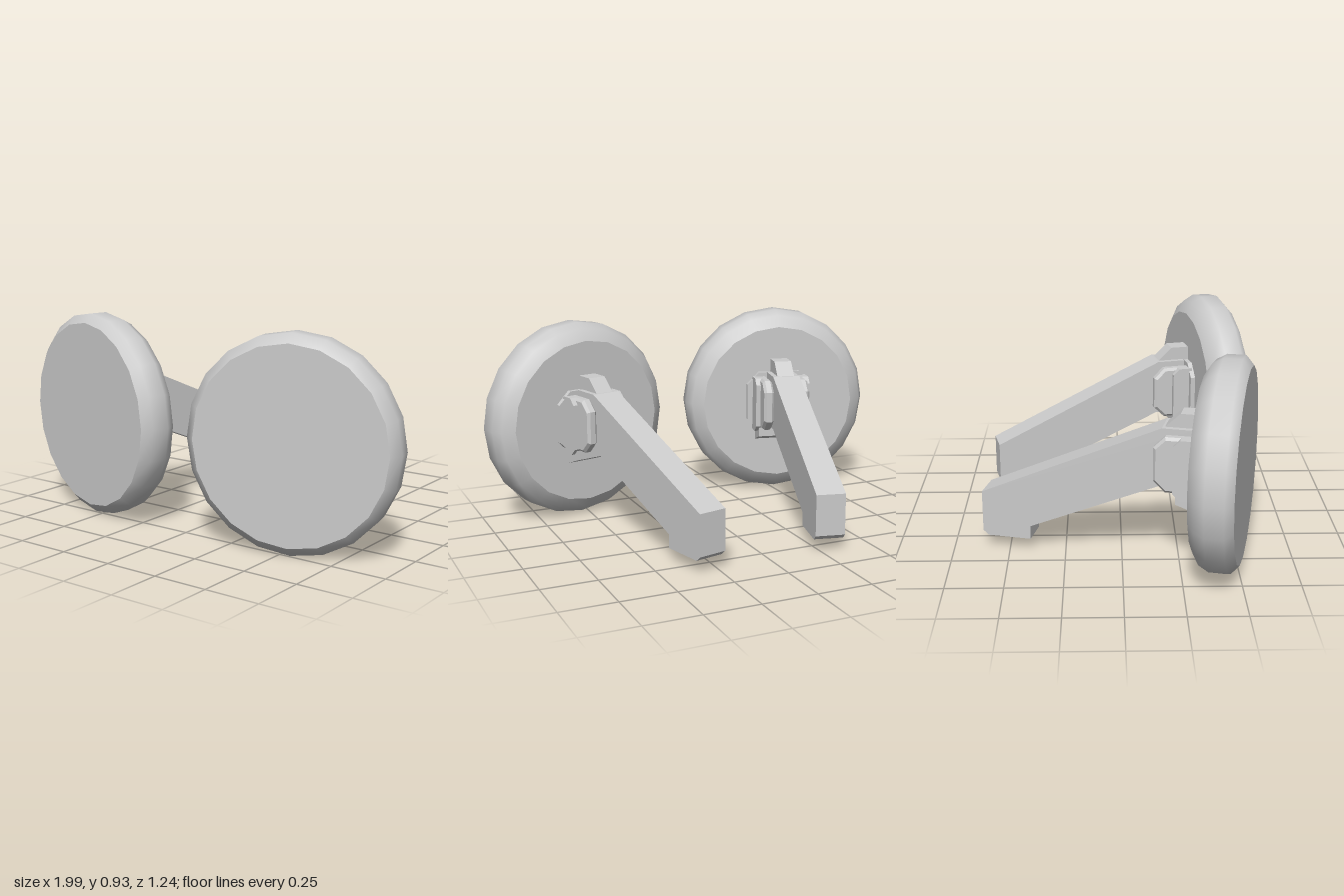
import * as THREE from 'three';

const material = new THREE.MeshStandardMaterial({ color: 0xcccccc, side: THREE.DoubleSide });
const flat = new THREE.MeshStandardMaterial({ color: 0xcccccc, flatShading: true });
const TOE = THREE.MathUtils.degToRad(13.5);
const AXIS_Y = 0.465;

function add(parent, name, geometry, mat = flat) {
  const mesh = new THREE.Mesh(geometry, mat);
  mesh.name = name;
  parent.add(mesh);
  return mesh;
}

// Side profile given as [forward, up], extruded across the part's width
function sideExtrude(points, width, centre = 0, bevel = 0) {
  const shape = new THREE.Shape(points.map(([z, y]) => new THREE.Vector2(z, y)));
  const geometry = new THREE.ExtrudeGeometry(shape, {
    depth: width - 2 * bevel, bevelEnabled: bevel > 0, bevelSegments: 1,
    bevelSize: bevel, bevelThickness: bevel, bevelOffset: -bevel,
  });
  geometry.translate(0, 0, -width / 2 + bevel);
  geometry.rotateY(-Math.PI / 2);
  geometry.translate(centre, 0, 0);
  return geometry;
}

// Rectangle with its corners cut off
function chamfered(z0, z1, y0, y1, c) {
  return [[z0 + c, y0], [z1, y0], [z1, y1], [z0 + c, y1], [z0, y1 - c], [z0, y0 + c]];
}

function buildUnit() {
  const unit = new THREE.Group();

  // Round pad: smooth rim with flat caps
  const rim = [[0.385, 0.447], [0.44, 0.48], [0.465, 0.525], [0.465, 0.605], [0.425, 0.64]];
  const rimGeometry = new THREE.LatheGeometry(rim.map(([r, z]) => new THREE.Vector2(r, z)), 20);
  rimGeometry.rotateX(Math.PI / 2);
  add(unit, 'padRim', rimGeometry, material).position.y = AXIS_Y;
  const front = new THREE.CircleGeometry(0.425, 20);
  add(unit, 'padFrontFace', front).position.set(0, AXIS_Y, 0.64);
  const back = new THREE.CircleGeometry(0.385, 20);
  back.rotateY(Math.PI);
  add(unit, 'padBackFace', back).position.set(0, AXIS_Y, 0.447);

  // Sloping arm with a foot at the rear end
  add(unit, 'arm', sideExtrude([
    [-0.522, 0.265], [-0.522, 0.077], [-0.497, 0.055], [-0.302, 0.055], [-0.302, 0.117],
    [0.275, 0.365], [0.42, 0.365], [0.42, 0.628], [0.285, 0.628],
  ], 0.133));

  // Wedge above the arm, against the pad
  add(unit, 'topWedge', sideExtrude(
    [[0.295, 0.6], [0.45, 0.6], [0.45, 0.69], [0.36, 0.69], [0.295, 0.628]], 0.085));

  // Thin mounting plate on the back of the pad
  const c = 0.06, w = 0.165, h = 0.15;
  const plate = new THREE.Shape([
    [-w + c, -h], [w - c, -h], [w, -h + c], [w, h - c],
    [w - c, h], [-w + c, h], [-w, h - c], [-w, -h + c],
  ].map(([x, y]) => new THREE.Vector2(x, y)));
  add(unit, 'mountPlate', new THREE.ExtrudeGeometry(plate, { depth: 0.025, bevelEnabled: false }))
    .position.set(0, 0.475, 0.425);

  // Clamping ears either side of the arm, each with a collar step
  for (const side of [-1, 1]) {
    add(unit, 'ear', sideExtrude(chamfered(0.256, 0.44, 0.355, 0.605, 0.05), 0.05, side * 0.09, 0.012));
    add(unit, 'earCollar', sideExtrude(chamfered(0.345, 0.44, 0.335, 0.605, 0.03), 0.035, side * 0.12));
  }

  // Bar under the arm
  add(unit, 'lowerBar', sideExtrude(
    [[0.355, 0.39], [0.355, 0.31], [0.45, 0.275], [0.45, 0.39]], 0.24));

  return unit;
}

export function createModel() {
  const model = new THREE.Group();
  model.name = 'padPair';
  for (const side of [-1, 1]) {
    const unit = buildUnit();
    unit.name = side > 0 ? 'leftPadAndArm' : 'rightPadAndArm';
    unit.position.set(side * 0.404, 0, -0.097);
    unit.rotation.y = side * TOE;
    model.add(unit);
  }
  return model;
}
